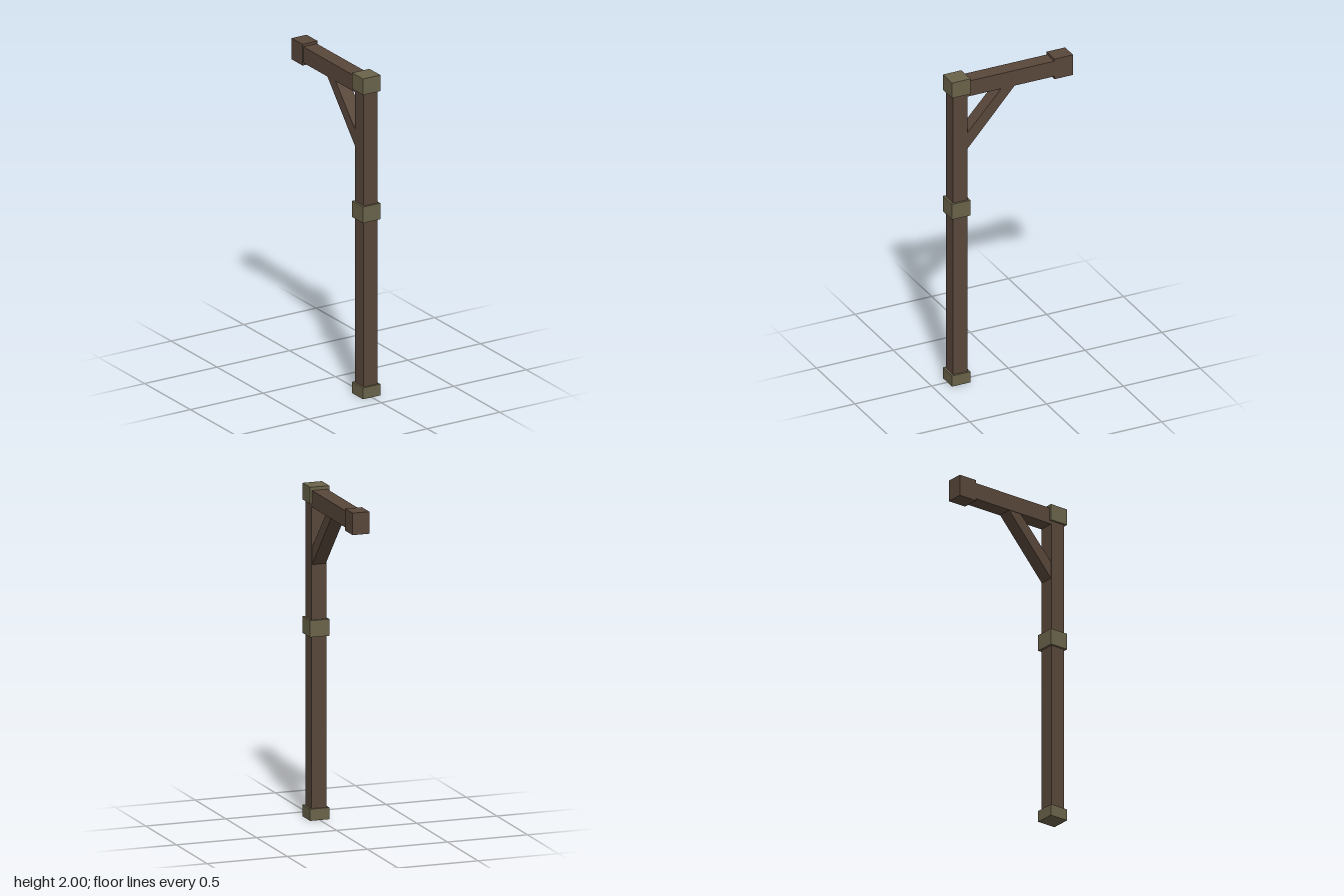
import * as THREE from 'three';

export function createModel() {
  const model = new THREE.Group();
  model.name = 'bracketPost';

  const wood = new THREE.MeshStandardMaterial({ color: 0x59473b });
  wood.name = 'darkWood';
  const band = new THREE.MeshStandardMaterial({ color: 0x6a634a });
  band.name = 'oliveBand';

  // Box given by half width in x and its y and z ranges
  function block(name, material, halfX, [y0, y1], [z0, z1]) {
    const mesh = new THREE.Mesh(new THREE.BoxGeometry(halfX * 2, y1 - y0, z1 - z0), material);
    mesh.position.set(0, (y0 + y1) / 2, (z0 + z1) / 2);
    mesh.name = name;
    model.add(mesh);
  }

  // Timber post, arm and the block at the arm's end
  block('post', wood, 0.047, [0.02, 1.95], [0.289, 0.383]);
  block('arm', wood, 0.047, [1.88, 1.98], [-0.3, 0.3]);
  block('armEnd', wood, 0.052, [1.864, 1.996], [-0.396, -0.276]);

  // Square collars around the post
  const collarZ = [0.276, 0.396];
  block('baseCollar', band, 0.06, [0, 0.07], collarZ);
  block('middleCollar', band, 0.06, [1.1, 1.2], collarZ);
  block('topCap', band, 0.06, [1.9, 2], collarZ);

  // Diagonal brace, its ends cut flush with the post and the arm
  const halfBrace = 0.043;
  const profile = new THREE.Shape([
    new THREE.Vector2(0.289, 1.532),
    new THREE.Vector2(0.289, 1.638),
    new THREE.Vector2(0.066, 1.88),
    new THREE.Vector2(-0.022, 1.88),
  ]);
  const braceGeometry = new THREE.ExtrudeGeometry(profile, { depth: halfBrace * 2, bevelEnabled: false });
  braceGeometry.translate(0, 0, -halfBrace).rotateY(-Math.PI / 2);
  const brace = new THREE.Mesh(braceGeometry, wood);
  brace.name = 'brace';
  model.add(brace);

  return model;
}
